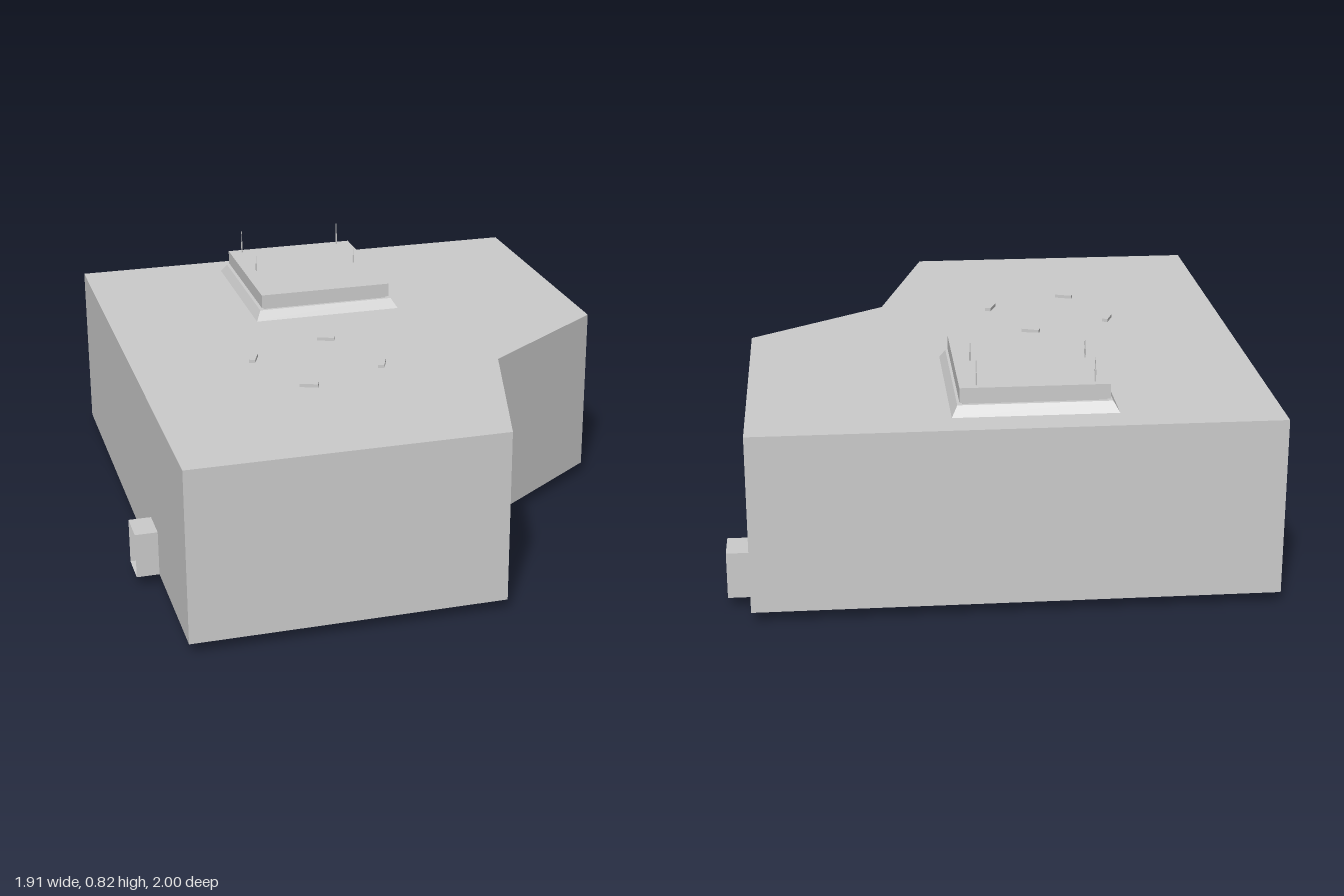
import * as THREE from 'three';

const material = new THREE.MeshStandardMaterial({ color: 0xcccccc, flatShading: true, side: THREE.DoubleSide });
const FLOOR = 0.04, ROOF = 0.65;

function add(parent, name, geometry, x = 0, y = 0, z = 0) {
  const mesh = new THREE.Mesh(geometry, material);
  mesh.name = name;
  mesh.position.set(x, y, z);
  parent.add(mesh);
  return mesh;
}

// Rectangular block whose top and bottom may differ in size; base sits at y = 0
function taperedBlock(w0, d0, w1, d1, h) {
  const g = new THREE.BoxGeometry(1, h, 1).translate(0, h / 2, 0);
  const p = g.attributes.position;
  for (let i = 0; i < p.count; i++) {
    const top = p.getY(i) > h / 2;
    p.setX(i, p.getX(i) * (top ? w1 : w0));
    p.setZ(i, p.getZ(i) * (top ? d1 : d0));
  }
  g.computeVertexNormals();
  return g;
}

// Four-walled sleeve open at both ends along x
function sleeve(length, height, width) {
  const shape = [[-1, 0], [1, 0], [1, 1], [-1, 1]].map(([z, y]) => [z * width / 2, y * height]);
  const pos = [], index = [];
  shape.forEach(([z, y], i) => {
    pos.push(-length / 2, y, z, length / 2, y, z);
    const a = i * 2, b = ((i + 1) % 4) * 2;
    index.push(a, a + 1, b, b, a + 1, b + 1);
  });
  const g = new THREE.BufferGeometry();
  g.setAttribute('position', new THREE.Float32BufferAttribute(pos, 3));
  g.setIndex(index);
  const flat = g.toNonIndexed();
  flat.computeVertexNormals();
  return flat;
}

export function createModel() {
  const model = new THREE.Group();
  model.name = 'building';

  // Main body: plan outline extruded upwards
  const outline = [[-0.875, -1], [0.875, -1], [0.875, 0.02], [0.39, 0.365], [0.21, 1], [-0.875, 1]];
  const plan = new THREE.Shape(outline.map(([x, z]) => new THREE.Vector2(x, -z)));
  const bodyGeometry = new THREE.ExtrudeGeometry(plan, { depth: ROOF - FLOOR, bevelEnabled: false });
  add(model, 'body', bodyGeometry.rotateX(-Math.PI / 2), 0, FLOOR, 0);

  // Roof housing: sloped skirt, recessed neck, upper block
  const housing = new THREE.Group();
  housing.name = 'roofHousing';
  housing.position.set(-0.066, 0, -0.569);
  model.add(housing);
  add(housing, 'skirt', taperedBlock(0.55, 0.63, 0.51, 0.575, 0.033), 0, ROOF, 0);
  add(housing, 'neck', taperedBlock(0.475, 0.55, 0.475, 0.55, 0.01), 0, 0.682, 0);
  add(housing, 'upperBlock', taperedBlock(0.495, 0.567, 0.495, 0.567, 0.05), 0, 0.69, 0);

  // Base plate below the body
  add(housing, 'basePlate', taperedBlock(0.525, 0.605, 0.525, 0.605, 0.016));
  add(housing, 'baseChamfer', taperedBlock(0.525, 0.605, 0.55, 0.625, 0.024), 0, 0.016, 0);

  // Thin masts with a thicker lower half
  for (const x of [-0.265, 0.125]) {
    for (const [z, height] of [[-0.825, 0.085], [-0.575, 0.062]]) {
      const mast = new THREE.Group();
      mast.name = 'mast';
      mast.position.set(x, 0.74, z);
      model.add(mast);
      add(mast, 'mastRod', new THREE.CylinderGeometry(0.0015, 0.0015, height, 6), 0, height / 2, 0);
      add(mast, 'mastBase', new THREE.CylinderGeometry(0.003, 0.003, height / 2, 6), 0, height / 4, 0);
    }
  }

  // Small tilted blocks on the roof, set in a ring
  for (const [x, z, angle] of [[-0.145, 0.005, -0.36], [-0.445, 0.13, 1.2], [-0.32, 0.43, -0.36], [-0.022, 0.305, 1.2]]) {
    add(model, 'roofBlock', new THREE.BoxGeometry(0.064, 0.012, 0.022), x, ROOF + 0.006, z).rotation.y = angle;
  }

  // Open entry sleeves on the two long sides
  add(model, 'leftEntry', sleeve(0.08, 0.16, 0.125), 0.914, FLOOR, -0.818);
  add(model, 'rightEntry', sleeve(0.08, 0.16, 0.125), -0.914, FLOOR, 0.43);
  return model;
}
